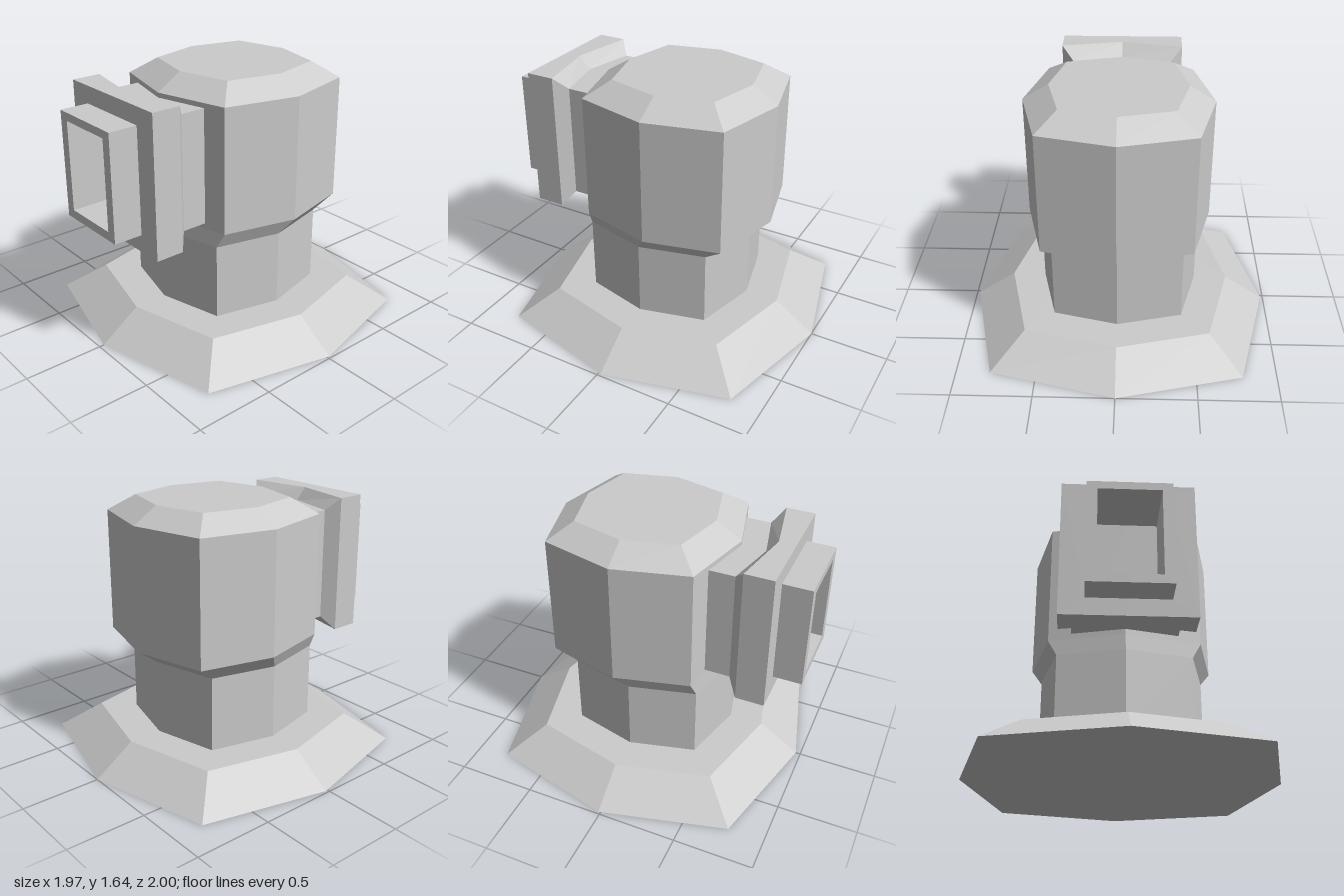
import * as THREE from 'three';

const material = new THREE.MeshStandardMaterial({ color: 0xcccccc, flatShading: true });

// Skins a list of equal-length rings (counter-clockwise about the loft direction).
function loft(name, rings, capStart = false, capEnd = false) {
  const pos = [];
  const tri = (...points) => points.forEach((p) => pos.push(...p));
  const n = rings[0].length;
  for (let i = 0; i < rings.length - 1; i++) {
    for (let j = 0; j < n; j++) {
      const k = (j + 1) % n;
      const [a, b, c, d] = [rings[i][j], rings[i][k], rings[i + 1][k], rings[i + 1][j]];
      tri(a, b, c);
      tri(a, c, d);
    }
  }
  const first = rings[0], last = rings[rings.length - 1];
  for (let j = 1; j < n - 1; j++) {
    if (capStart) tri(first[0], first[j + 1], first[j]);
    if (capEnd) tri(last[0], last[j], last[j + 1]);
  }
  const geometry = new THREE.BufferGeometry();
  geometry.setAttribute('position', new THREE.Float32BufferAttribute(pos, 3));
  geometry.computeVertexNormals();
  const mesh = new THREE.Mesh(geometry, material);
  mesh.name = name;
  return mesh;
}

// Squarish octagon at height y, with radius r and centre z.
const OCTAGON = [[0, 1], [0.8, 0.8], [1, 0], [0.8, -0.8], [0, -1], [-0.8, -0.8], [-1, 0], [-0.8, 0.8]];
const octagon = (y, r, z) => OCTAGON.map(([u, v]) => [u * r, y, z + v * r]);

// Upright rectangle whose middle is pushed forward by bulge.
const panel = (x, y0, y1, z, bulge = 0) => [
  [-x, y0, z], [0, y0, z + bulge], [x, y0, z],
  [x, y1, z], [0, y1, z + bulge], [-x, y1, z],
];

export function createModel() {
  const model = new THREE.Group();
  model.name = 'hydrant';

  // Flared foot
  model.add(loft('base', [octagon(0, 0.985, -0.015), octagon(0.175, 0.73, -0.015)], true, true));

  // Narrow neck
  const neckTop = octagon(0.655, 0.513, -0.015);
  model.add(loft('neck', [octagon(0.175, 0.513, -0.015), neckTop]));

  // Wider head with chamfered top
  model.add(loft('head', [
    neckTop,
    octagon(0.755, 0.58, -0.085),
    octagon(1.54, 0.58, -0.085),
    octagon(1.64, 0.42, -0.085),
  ], false, true));

  // Collar against the head, widening into a flange
  model.add(loft('outletFlange', [
    panel(0.325, 0.79, 1.51, 0.405, 0.075),
    panel(0.325, 0.79, 1.51, 0.573, 0.073),
    panel(0.4, 0.705, 1.59, 0.64, 0.075),
    panel(0.4, 0.705, 1.59, 0.82),
    panel(0.25, 0.815, 1.48, 0.82),
  ], true));

  // Hollow rectangular outlet
  model.add(loft('outlet', [
    panel(0.25, 0.815, 1.48, 0.82),
    panel(0.25, 0.815, 1.48, 1),
    panel(0.187, 0.87, 1.43, 1),
    panel(0.184, 0.873, 1.427, 0.64),
  ], false, true));

  return model;
}
